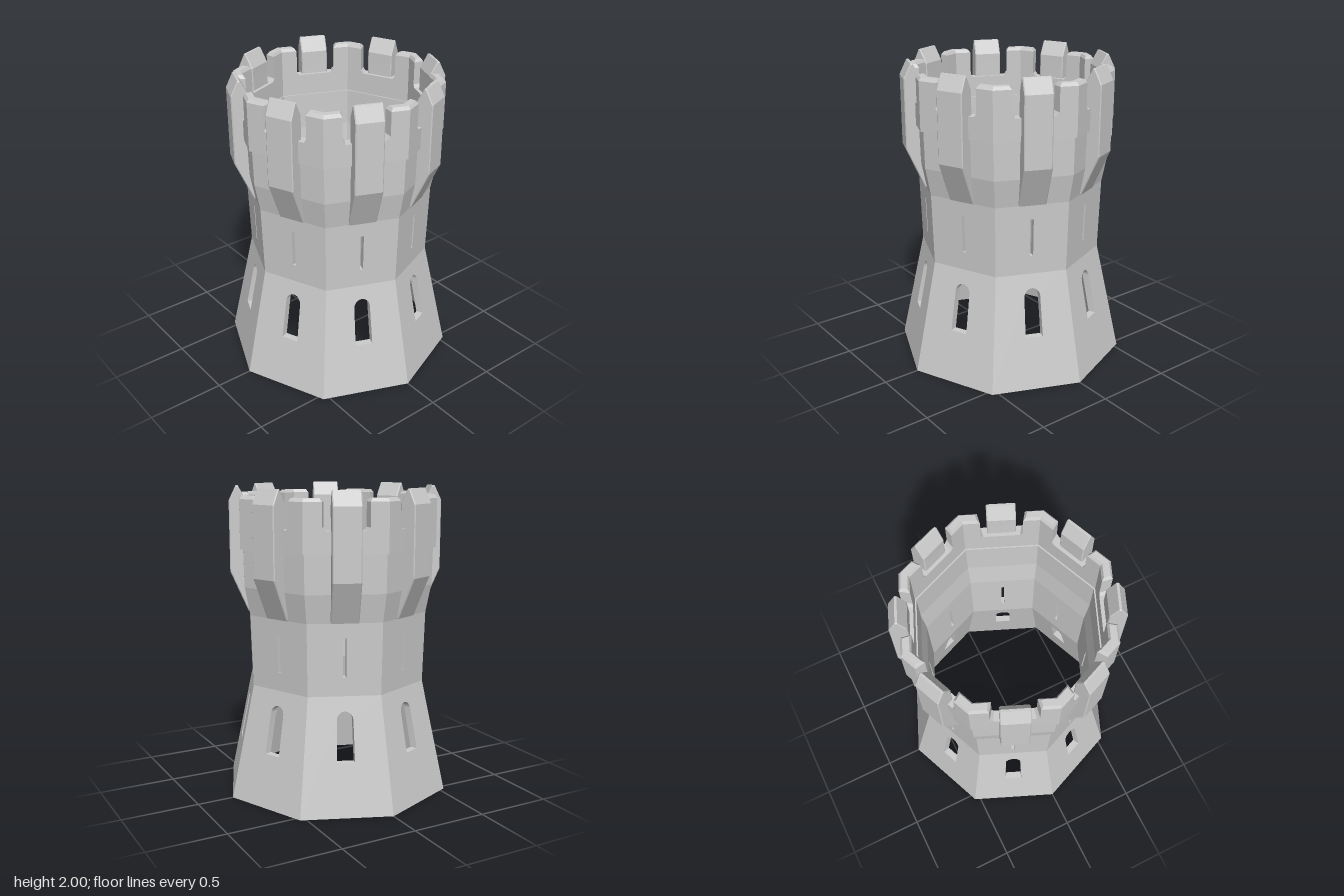
import * as THREE from 'three';
import { mergeGeometries, toCreasedNormals } from 'three/addons/utils/BufferGeometryUtils.js';

const SIDES = 8, HALF = Math.PI / SIDES;
const material = new THREE.MeshStandardMaterial({ color: 0xcccccc });

// Corner radii of the tower: [y, outer, inner]
const WALL = [[0, 0.76, 0.71], [0.74, 0.597, 0.55], [1.2, 0.61, 0.56], [1.38, 0.645, 0.585], [1.62, 0.65, 0.59]];
const PARAPET = [[1.62, 0.67, 0.6], [1.93, 0.67, 0.6]];
const CAP = [[1.93, 0.67, 0.6], [1.95, 0.655, 0.612]];

function polygon(points) {
  return new THREE.Shape(points.map(([x, y]) => new THREE.Vector2(x, y)));
}

// Extrude a shape drawn in (-1..1, height) and bend it onto one mitred side of the octagon
function panel(shape, [y0, o0, i0], [y1, o1, i1]) {
  const geo = new THREE.ExtrudeGeometry(shape, { depth: 1, bevelEnabled: false, curveSegments: 14 });
  const p = geo.attributes.position;
  for (let i = 0; i < p.count; i++) {
    const k = (p.getY(i) - y0) / (y1 - y0);
    const r = THREE.MathUtils.lerp(i0 + (i1 - i0) * k, o0 + (o1 - o0) * k, p.getZ(i));
    p.setXYZ(i, p.getX(i) * r * Math.sin(HALF), p.getY(i), r * Math.cos(HALF));
  }
  return toCreasedNormals(geo, 0.4);
}

// Repeat a side's geometry around the tower
function ring(name, geo) {
  const copies = [];
  for (let i = 0; i < SIDES; i++) copies.push(geo.clone().rotateY((2 * i + 1) * HALF));
  const mesh = new THREE.Mesh(mergeGeometries(copies), material);
  mesh.name = name;
  return mesh;
}

function band(a, b) {
  return polygon([[-1, a], [1, a], [1, b], [-1, b]]);
}

function archedHole(w, bottom, spring, rise) {
  const hole = new THREE.Path();
  hole.moveTo(-w, bottom);
  hole.lineTo(w, bottom);
  hole.lineTo(w, spring);
  hole.absellipse(0, spring, w, rise, 0, Math.PI, false);
  hole.lineTo(-w, bottom);
  return hole;
}

function slitHole(w, bottom, top) {
  return new THREE.Path([[-w, bottom], [w, bottom], [w, top], [-w, top]].map(([x, y]) => new THREE.Vector2(x, y)));
}

export function createModel() {
  const tower = new THREE.Group();
  tower.name = 'tower';

  // Wall bands: flared base with arched windows, waist with slits, flared head
  const names = ['windowBase', 'slitWall', 'flare', 'upperWall'];
  names.forEach((name, i) => {
    const shape = band(WALL[i][0], WALL[i + 1][0]);
    if (i === 0) shape.holes.push(archedHole(0.215, 0.335, 0.592, 0.055));
    if (i === 1) shape.holes.push(slitHole(0.045, 0.86, 1.105));
    tower.add(ring(name, panel(shape, WALL[i], WALL[i + 1])));
  });

  // Parapet with a merlon on every corner and a crenel on every side
  const m = 0.56, sill = 1.76;
  const outline = [[-1, 1.62], [1, 1.62], [1, 1.93], [m, 1.93], [m, sill + 0.02], [m - 0.07, sill],
    [-m + 0.07, sill], [-m, sill + 0.02], [-m, 1.93], [-1, 1.93]];
  tower.add(ring('parapet', panel(polygon(outline), ...PARAPET)));

  // Chamfered merlon tops
  const caps = [1, -1].map((s) => {
    const pts = [[s * m, 1.93], [s, 1.93], [s, 1.95], [s * (m + 0.06), 1.95]];
    return panel(polygon(pts), ...CAP);
  });
  tower.add(ring('merlonCaps', mergeGeometries(caps)));

  // Gabled buttresses in the middle of each side
  const width = 0.176, bevel = 0.006;
  const profile = polygon([[0.54, 1.2], [0.572, 1.2], [0.685, 1.46], [0.685, 1.907], [0.64, 2.0],
    [0.625, 2.0], [0.577, 1.91], [0.577, 1.6]]);
  const buttress = new THREE.ExtrudeGeometry(profile, {
    depth: width - 2 * bevel, bevelSize: bevel, bevelThickness: bevel, bevelOffset: -bevel, bevelSegments: 1,
  });
  buttress.translate(0, 0, -width / 2 + bevel).rotateY(-Math.PI / 2);
  tower.add(ring('buttresses', toCreasedNormals(buttress, 0.2)));

  return tower;
}
